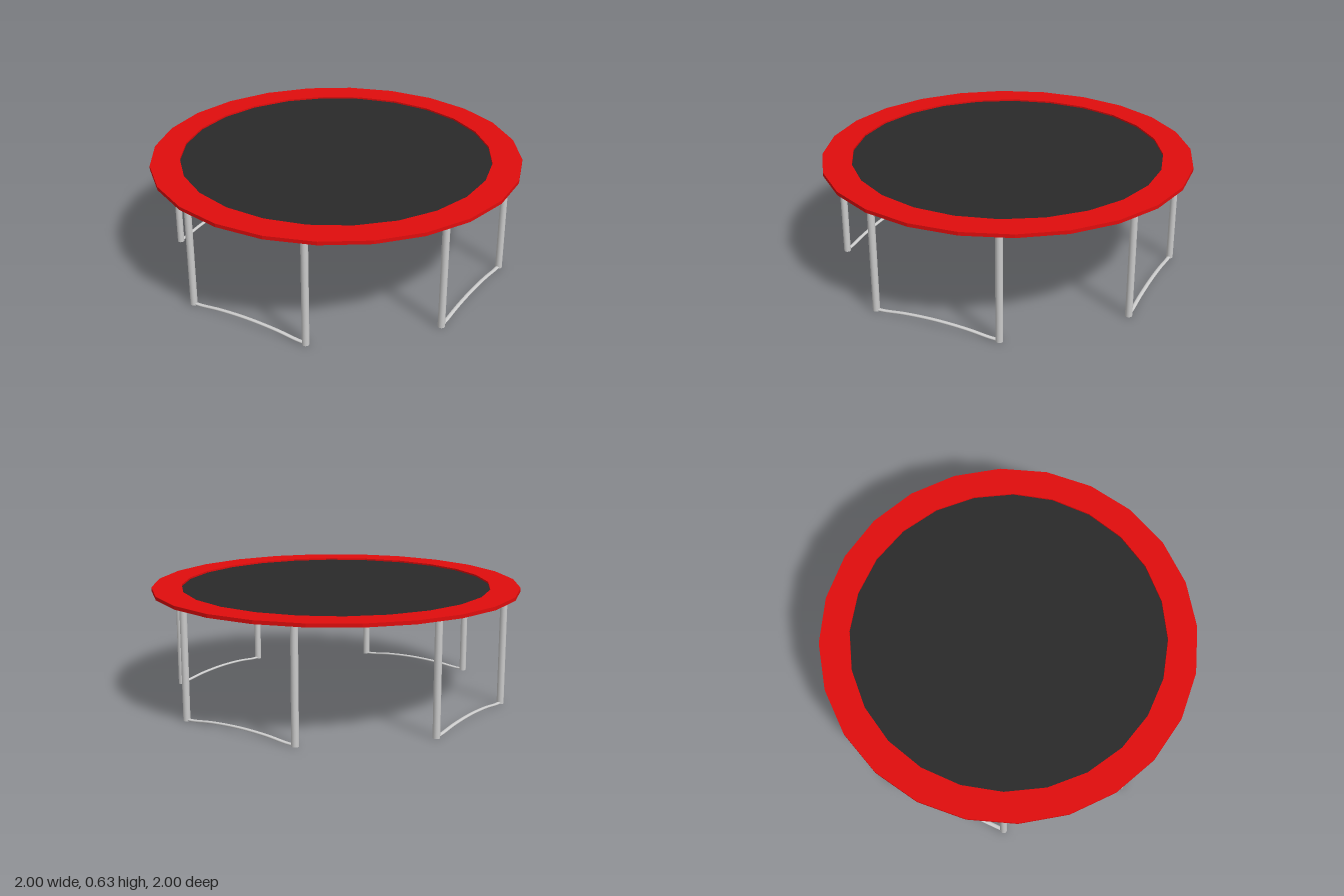
import * as THREE from 'three';

const SIDES = 24, LEG_RING = 0.917, TOP = 0.632, PAD = 0.019;

// Regular polygon points; start is the angle of the first corner
function polygon(radius, start) {
  return Array.from({ length: SIDES }, (_, i) => {
    const a = start + (i / SIDES) * Math.PI * 2;
    return new THREE.Vector2(radius * Math.cos(a), radius * Math.sin(a));
  });
}

export function createModel() {
  const model = new THREE.Group();
  model.name = 'trampoline';
  const steel = new THREE.MeshStandardMaterial({ color: 0xcccccc });
  const red = new THREE.MeshStandardMaterial({ color: 0xe00d0d });
  const black = new THREE.MeshStandardMaterial({ color: 0x2a2a2a, side: THREE.DoubleSide });

  const add = (parent, name, geometry, material) => {
    const mesh = new THREE.Mesh(geometry, material);
    mesh.name = name;
    parent.add(mesh);
    return mesh;
  };

  // Safety pad: flat faceted ring
  const ring = new THREE.Shape(polygon(1.002, THREE.MathUtils.degToRad(-4.4)));
  ring.holes.push(new THREE.Path(polygon(0.843, 0)));
  const padGeometry = new THREE.ExtrudeGeometry(ring, { depth: PAD, bevelEnabled: false });
  padGeometry.rotateX(Math.PI / 2);
  add(model, 'safetyPad', padGeometry, red).position.y = TOP;

  // Jumping mat: thin sheet halfway up the pad
  const matGeometry = new THREE.ShapeGeometry(new THREE.Shape(polygon(0.843, 0)));
  matGeometry.rotateX(-Math.PI / 2);
  add(model, 'jumpingMat', matGeometry, black).position.y = TOP - PAD / 2;

  // Leg frames: two posts joined by a flattened, arched foot tube
  const legHeight = TOP - PAD / 2 - 0.003;
  const legGeometry = new THREE.CylinderGeometry(0.019, 0.019, legHeight, 12);
  legGeometry.translate(0, 0.003 + legHeight / 2, 0);
  const half = LEG_RING * Math.sin(Math.PI / 8);
  const depth = LEG_RING * Math.cos(Math.PI / 8);
  const FLATTEN = 0.55;
  const footPath = new THREE.CatmullRomCurve3(
    [[-1, 0.009], [-0.86, 0.01], [-0.5, 0.024], [0, 0.031], [0.5, 0.024], [0.86, 0.01], [1, 0.009]]
      .map(([t, y]) => new THREE.Vector3(t * half, y / FLATTEN, 0)));
  const footGeometry = new THREE.TubeGeometry(footPath, 28, 0.011, 10);
  footGeometry.scale(1, FLATTEN, 1);

  for (let i = 0; i < 4; i++) {
    const frame = new THREE.Group();
    frame.name = 'legFrame' + (i + 1);
    for (const side of [-1, 1]) {
      add(frame, side < 0 ? 'legA' : 'legB', legGeometry, steel).position.set(side * half, 0, depth);
    }
    add(frame, 'footTube', footGeometry, steel).position.z = depth;
    frame.rotation.y = -Math.PI / 8 + i * Math.PI / 2;
    model.add(frame);
  }
  return model;
}
